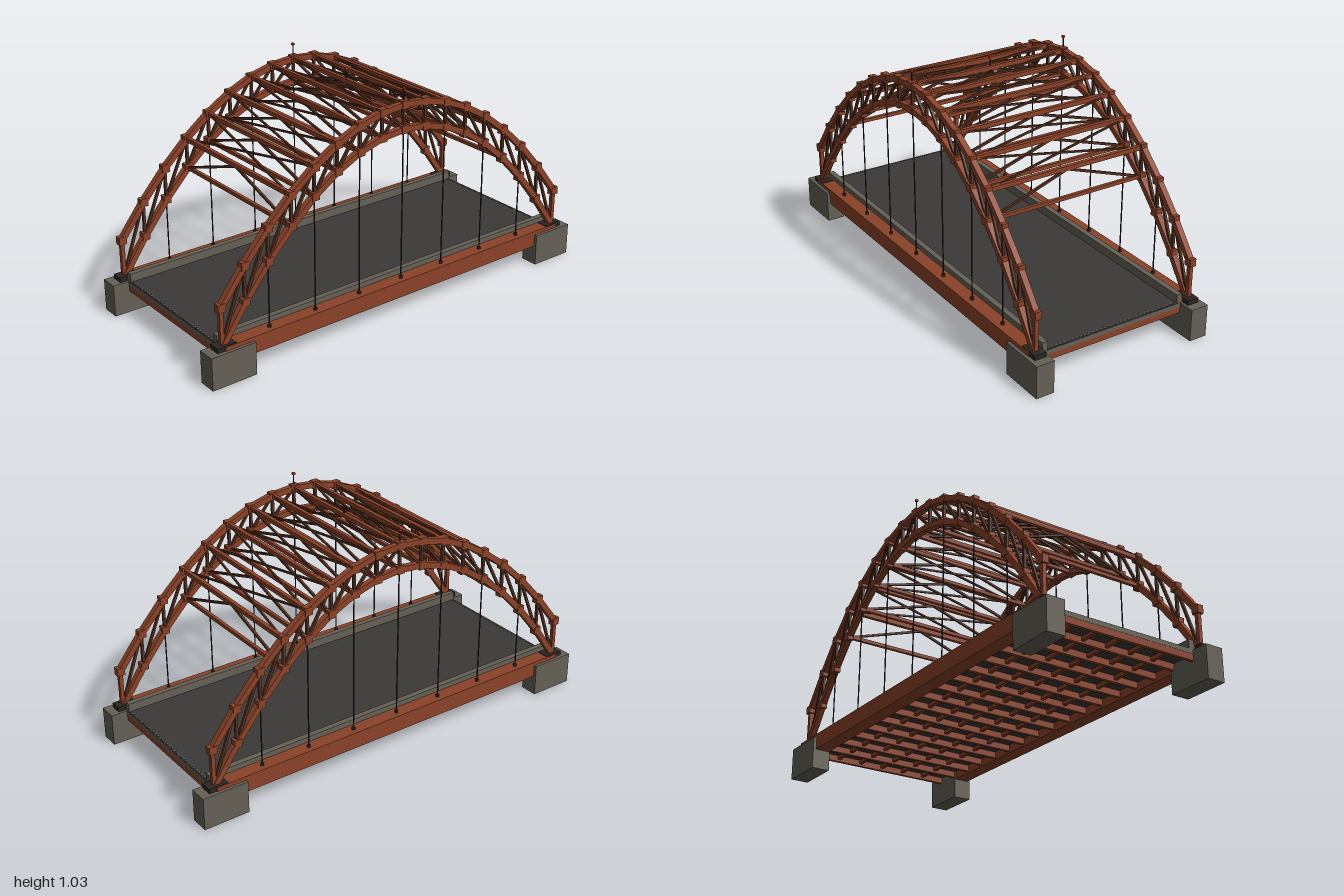
import * as THREE from 'three';

const mat = (color) => new THREE.MeshStandardMaterial({ color, roughness: 0.8 });
const steel = mat(0x8b4229), web = mat(0x55301f), dark = mat(0x2a2725);
const concrete = mat(0x666156), asphalt = mat(0x3b3937), red = mat(0xd03020);

const ARCH_X = 0.384, HALF = 0.925, PANELS = 16, STEP = (2 * HALF) / PANELS;
const topY = (z) => 0.963 - 0.633 * (z / HALF) ** 2;
const lowY = (z) => 0.855 - 0.7 * (z / HALF) ** 2;
const V = (x, y, z) => new THREE.Vector3(x, y, z);

function add(parent, name, geometry, material, x, y, z) {
  const m = new THREE.Mesh(geometry, material);
  m.name = name;
  m.position.set(x, y, z);
  parent.add(m);
  return m;
}
const box = (parent, name, material, w, h, d, x, y, z) =>
  add(parent, name, new THREE.BoxGeometry(w, h, d), material, x, y, z);
const rod = (parent, name, material, r, y0, y1, x, z) =>
  add(parent, name, new THREE.CylinderGeometry(r, r, y1 - y0, 8), material, x, (y0 + y1) / 2, z);

// Square-ended bar from a to b
function bar(parent, name, material, a, b, w, h = w) {
  const mid = a.clone().add(b).multiplyScalar(0.5);
  const m = box(parent, name, material, w, h, a.distanceTo(b), mid.x, mid.y, mid.z);
  m.lookAt(b);
  return m;
}

function group(parent, name) {
  const g = new THREE.Group();
  g.name = name;
  parent.add(g);
  return g;
}

// One trussed arch with its hangers, girder, bearings and piers
function buildSide(root, s) {
  const x = s * ARCH_X;
  const arch = group(root, s > 0 ? 'leftArch' : 'rightArch');
  for (let i = 0; i <= PANELS; i++) {
    const z = -HALF + i * STEP;
    const top = V(x, topY(z), z), low = V(x, lowY(z), z);
    const end = i === 0 || i === PANELS;
    bar(arch, 'vertical', end ? steel : web, low, top, end ? 0.018 : 0.012);
    for (const p of [top, low])
      if (!(end && p === low)) box(arch, 'gusset', steel, 0.03, 0.036, 0.036, x, p.y, z);
    if (i < PANELS) {
      const z2 = z + STEP;
      const top2 = V(x, topY(z2), z2), low2 = V(x, lowY(z2), z2);
      bar(arch, 'topChord', steel, top, top2, 0.026);
      bar(arch, 'lowerChord', steel, low, low2, 0.026);
      // Diagonals rise towards the crown
      if (i < PANELS / 2) bar(arch, 'diagonal', web, low, top2, 0.011);
      else bar(arch, 'diagonal', web, low2, top, 0.011);
    }
  }

  const hangers = group(root, 'hangers');
  for (let k = -3; k <= 3; k++) {
    const z = k * 2 * STEP;
    rod(hangers, 'hanger', dark, 0.003, 0.16, lowY(z), x, z);
    rod(hangers, 'hangerSocket', dark, 0.008, 0.16, 0.176, x, z);
  }

  box(root, 'edgeGirder', steel, 0.066, 0.075, 2 * HALF, s * 0.381, 0.1275, 0);
  box(root, 'curb', concrete, 0.026, 0.042, 2 * HALF, s * 0.338, 0.168, 0);
  for (const e of [-1, 1]) {
    box(root, 'pier', concrete, 0.084, 0.147, 0.21, s * 0.386, 0.0735, e * 0.895);
    box(root, 'bearing', dark, 0.054, 0.021, 0.09, s * 0.383, 0.1575, e * 0.915);
  }
}

export function createModel() {
  const root = new THREE.Group();
  root.name = 'archBridge';
  for (const s of [-1, 1]) buildSide(root, s);

  // Road deck with expansion joints at both ends
  const deck = group(root, 'deck');
  box(deck, 'roadSlab', asphalt, 0.69, 0.022, 2 * HALF, 0, 0.139, 0);
  for (const e of [-1, 1]) {
    box(deck, 'endSlab', concrete, 0.688, 0.02, 0.006, 0, 0.138, e * (HALF - 0.002));
    for (let k = -16; k <= 16; k++)
      box(deck, 'jointTooth', concrete, 0.01, 0.003, 0.008, k * 0.02, 0.1505, e * (HALF - 0.008));
  }

  // Floor framing below the deck
  const floor = group(root, 'floorFraming');
  for (let i = 0; i <= PANELS; i++) {
    const z = (-HALF + 0.008) + i * (2 * HALF - 0.016) / PANELS;
    box(floor, 'floorBeam', steel, 0.7, 0.03, 0.016, 0, 0.115, z);
  }
  for (let k = -2; k <= 2; k++)
    box(floor, 'stringer', steel, 0.014, 0.02, 2 * HALF - 0.01, k * 0.115, 0.12, 0);

  // Struts, sway frames and lateral crosses joining the arches
  const bracing = group(root, 'overheadBracing');
  const X = ARCH_X - 0.008;
  for (let k = -5; k <= 5; k++) {
    const z = k * STEP, yt = topY(z), yl = lowY(z);
    bar(bracing, 'topStrut', steel, V(-X, yt, z), V(X, yt, z), 0.018, 0.02);
    bar(bracing, 'lowerStrut', steel, V(-X, yl, z), V(X, yl, z), 0.015, 0.016);
    for (const s of [-1, 1]) {
      bar(bracing, 'swayBrace', web, V(s * X, yl, z), V(0, yt - 0.006, z), 0.01);
      if (k < 5)
        bar(bracing, 'lateralBrace', web, V(s * X, yt, z), V(-s * X, topY(z + STEP), z + STEP), 0.008);
    }
  }

  // Warning lights on short masts at the crown
  const lights = group(root, 'warningLights');
  for (const [x, y] of [[-ARCH_X, 1.03], [0, 1.016], [ARCH_X, 1.03]]) {
    rod(lights, 'mast', dark, 0.003, 0.96, y, x, 0);
    box(lights, 'lamp', red, 0.012, 0.01, 0.012, x, y, 0);
  }
  return root;
}
